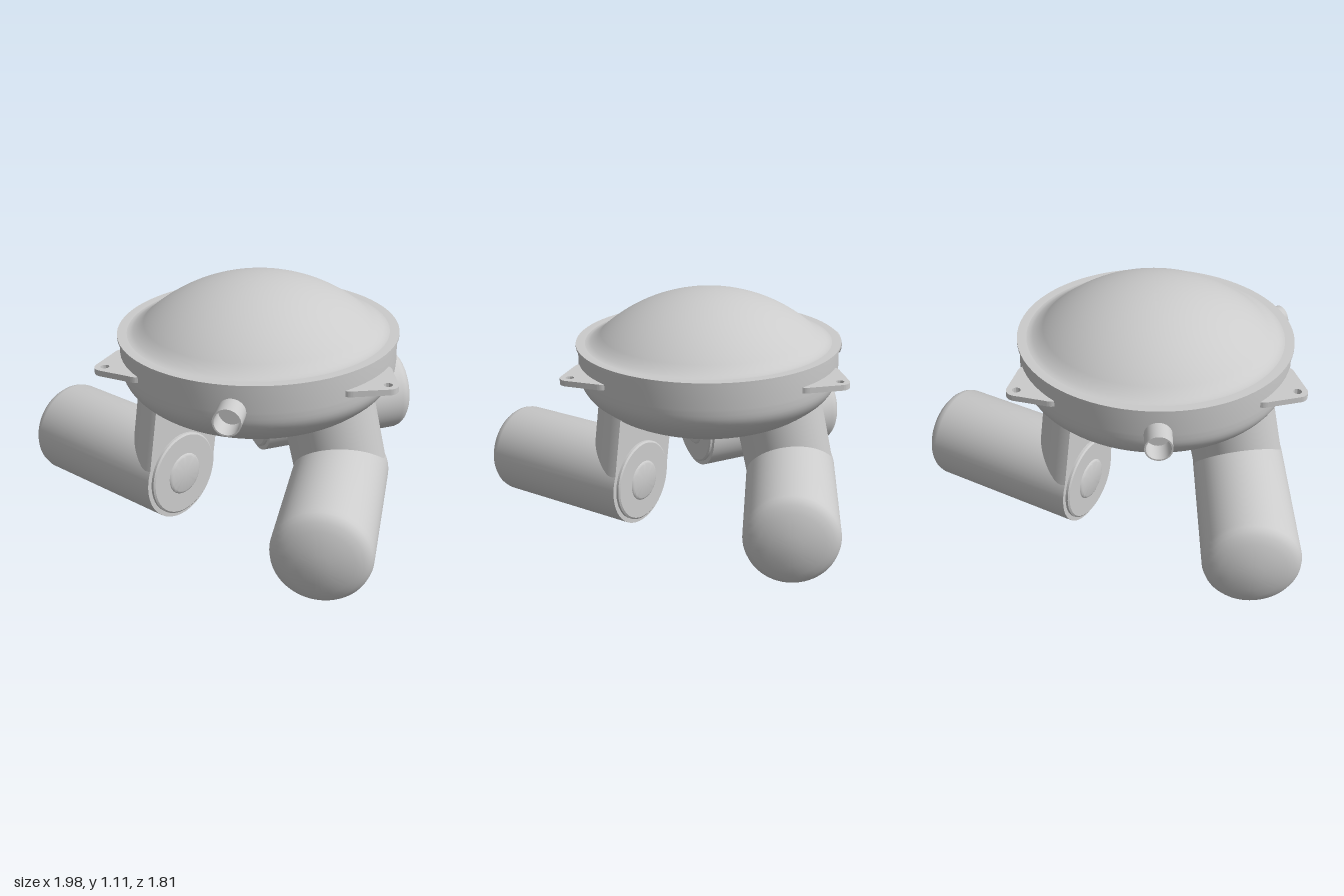
import * as THREE from 'three';
import { toCreasedNormals } from 'three/addons/utils/BufferGeometryUtils.js';

const material = new THREE.MeshStandardMaterial({ color: 0xcccccc });
const openMaterial = new THREE.MeshStandardMaterial({ color: 0xcccccc, side: THREE.DoubleSide });
const THIRD = Math.PI * 2 / 3;

function add(parent, name, geometry, mat = material) {
  const mesh = new THREE.Mesh(toCreasedNormals(geometry, 0.6), mat);
  mesh.name = name;
  parent.add(mesh);
  return mesh;
}

// Turned part from [radius, height] pairs, listed bottom to top
function turned(points, segments = 64) {
  return new THREE.LatheGeometry(points.map(([r, y]) => new THREE.Vector2(r, y)), segments);
}

function smooth(points, count) {
  const curve = new THREE.SplineCurve(points.map(([r, y]) => new THREE.Vector2(r, y)));
  return curve.getPoints(count).map(p => [Math.max(p.x, 0), p.y]);
}

// Flat shape laid horizontally and extruded upwards
function slab(shape, depth) {
  return new THREE.ExtrudeGeometry(shape, { depth, bevelEnabled: false, curveSegments: 36 })
    .rotateX(-Math.PI / 2);
}

function buildVessel(parent) {
  // Bowl with a short straight wall
  const bowl = smooth([[0, 0.405], [0.11, 0.412], [0.25, 0.437], [0.4, 0.487],
    [0.52, 0.543], [0.6, 0.605], [0.64, 0.665], [0.65, 0.73]], 28);
  add(parent, 'bowl', turned([...bowl, [0.65, 0.856]], 80));

  // Thin rim flange
  add(parent, 'rim', turned([[0.6, 0.853], [0.66, 0.853], [0.66, 0.864], [0.5, 0.864]], 80));

  // Lid: spherical cap with a small fillet at its foot
  const lid = [[0.615, 0.864], [0.6, 0.866], [0.585, 0.873]];
  for (let i = 0; i <= 20; i++) {
    const a = 0.76 * (1 - i / 20);
    lid.push([0.81 * Math.sin(a), 0.3 + 0.81 * Math.cos(a)]);
  }
  add(parent, 'lid', turned(lid, 80));

  // Drain plug under the bowl
  add(parent, 'drainPlug', turned([[0, 0.352], [0.085, 0.352], [0.095, 0.36], [0.095, 0.383],
    [0.15, 0.383], [0.16, 0.39], [0.16, 0.43]], 40));
}

function buildPod(parent) {
  const radius = 0.222;
  // Horizontal drum with a domed outer end
  const drum = turned([[0, -0.98], [0.05, -0.977], [0.1, -0.969], [0.15, -0.955], [0.185, -0.94],
    [0.204, -0.925], [0.216, -0.908], [radius, -0.885], [radius, -0.13], [0, -0.13]]);
  add(parent, 'podDrum', drum.rotateZ(-Math.PI / 2).translate(0, radius, 0.42));

  // Inner end cover with a raised centre disc
  const cover = turned([[0.2, -0.135], [0.2, -0.118], [0.192, -0.112], [0.1, -0.112],
    [0.096, -0.107], [0.088, -0.104], [0, -0.104]], 48);
  add(parent, 'podEndCover', cover.rotateZ(-Math.PI / 2).translate(0, radius, 0.42));

  // Neck: cylinder cut flush with the drum end, leaning in towards the bowl
  const section = new THREE.Shape();
  const cut = Math.acos(0.025 / radius);
  section.absarc(0, 0, radius, cut, Math.PI * 2 - cut, false);
  section.closePath();
  const neck = slab(section, 0.46);
  const pos = neck.attributes.position;
  for (let i = 0; i < pos.count; i++) pos.setZ(i, pos.getZ(i) - 0.2 * pos.getY(i));
  add(parent, 'podNeck', neck.translate(-0.155, radius, 0.42));
}

function buildLug(parent) {
  // Triangular mounting lug with a bolt hole
  const shape = new THREE.Shape();
  shape.moveTo(0.55, -0.165);
  shape.lineTo(0.635, -0.165);
  shape.quadraticCurveTo(0.65, -0.16, 0.665, -0.142);
  shape.absarc(0.735, 0, 0.05, -0.75, 0.75, false);
  shape.lineTo(0.665, 0.142);
  shape.quadraticCurveTo(0.65, 0.16, 0.635, 0.165);
  shape.lineTo(0.55, 0.165);
  shape.closePath();
  const hole = new THREE.Path();
  hole.absarc(0.738, 0, 0.02, 0, Math.PI * 2, true);
  shape.holes.push(hole);
  add(parent, 'mountingLug', slab(shape, 0.028).translate(0, 0.75, 0));
}

function buildPort(parent) {
  // Open pipe stub pointing along +x
  const pipe = turned([[0.063, 0.6], [0.063, 0.755], [0.056, 0.755], [0.056, 0.655], [0, 0.655]], 32);
  add(parent, 'portPipe', pipe.rotateZ(-Math.PI / 2).translate(0, 0.735, 0), openMaterial);
}

export function createModel() {
  const model = new THREE.Group();
  model.name = 'domedVessel';
  const body = new THREE.Group();
  body.name = 'vesselBody';
  body.position.set(-0.02, 0, 0.21);
  model.add(body);
  buildVessel(body);

  // Parts repeated around the vertical axis
  const around = (name, build, angles) => angles.forEach((angle, i) => {
    const group = new THREE.Group();
    group.name = name + (i + 1);
    group.rotation.y = angle;
    build(group);
    body.add(group);
  });
  around('pod', buildPod, [0, THIRD, -THIRD]);
  around('lug', buildLug, [0, THIRD, -THIRD]);
  around('port', buildPort, [Math.PI, -Math.PI / 3]);
  return model;
}
